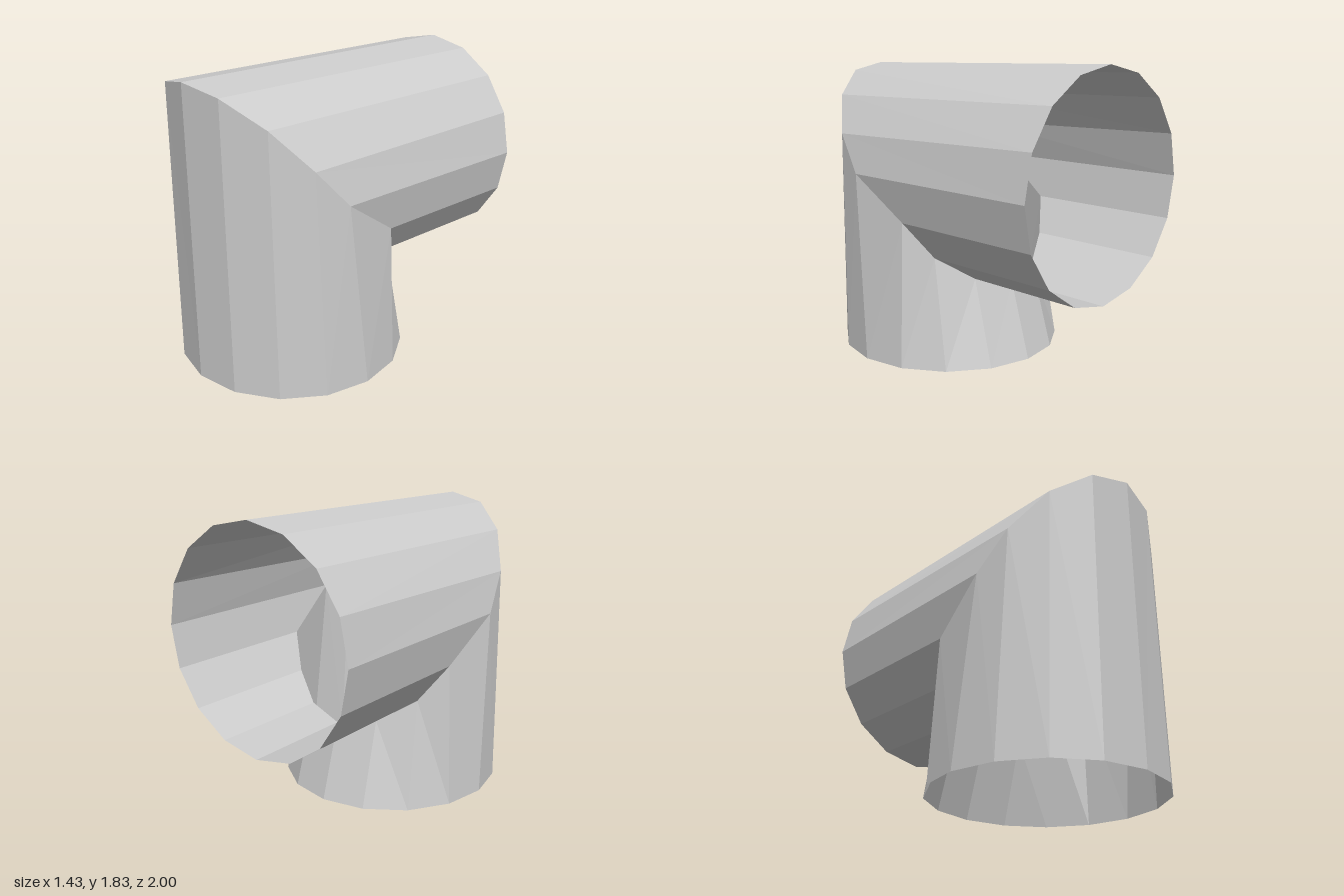
import * as THREE from 'three';

const SIDES = 16;

// Builds a ring of points from a rule for each corner; corner 0 is the front/top one
function ring(rule) {
  return Array.from({ length: SIDES }, (_, k) => {
    const a = (k / SIDES) * Math.PI * 2;
    return rule(Math.sin(a), Math.cos(a), Math.min(k, SIDES - k));
  });
}

// Open faceted tube between two rings, with mirrored diagonals left and right
function loft(from, to) {
  const pos = [];
  for (let k = 0; k < SIDES; k++) {
    const n = (k + 1) % SIDES;
    const a = from[k], b = from[n], c = to[n], d = to[k];
    const corners = k < SIDES / 2 ? [a, b, c, a, c, d] : [a, b, d, b, c, d];
    corners.forEach((p) => pos.push(...p));
  }
  const geo = new THREE.BufferGeometry();
  geo.setAttribute('position', new THREE.Float32BufferAttribute(pos, 3));
  geo.computeVertexNormals();
  return geo;
}

export function createModel() {
  const group = new THREE.Group();
  group.name = 'pipeElbow';

  const grey = new THREE.MeshStandardMaterial({ color: 0xcccccc, flatShading: true, side: THREE.DoubleSide });
  grey.name = 'light grey';

  // Joint seam as [y, z], from the top front to the inner corner
  const seam = [
    [1.815, 1], [1.767, 0.945], [1.615, 0.8], [1.385, 0.605], [1.155, 0.4],
    [0.897, 0.02], [0.678, -0.1], [0.531, -0.225], [0.48, -0.29],
  ];
  const base = ring((s, c) => [0.715 * s, 0, 0.28 + 0.715 * c]);
  const joint = ring((s, c, i) => [0.673 * s, seam[i][0], seam[i][1]]);
  const back = ring((s, c) => [0.675 * s, 1.155 + 0.675 * c, -1]);

  // Upright and horizontal pipes, both open ended
  const parts = { uprightPipe: [base, joint], horizontalPipe: [joint, back] };
  for (const [name, [from, to]] of Object.entries(parts)) {
    const mesh = new THREE.Mesh(loft(from, to), grey);
    mesh.name = name;
    group.add(mesh);
  }
  return group;
}
